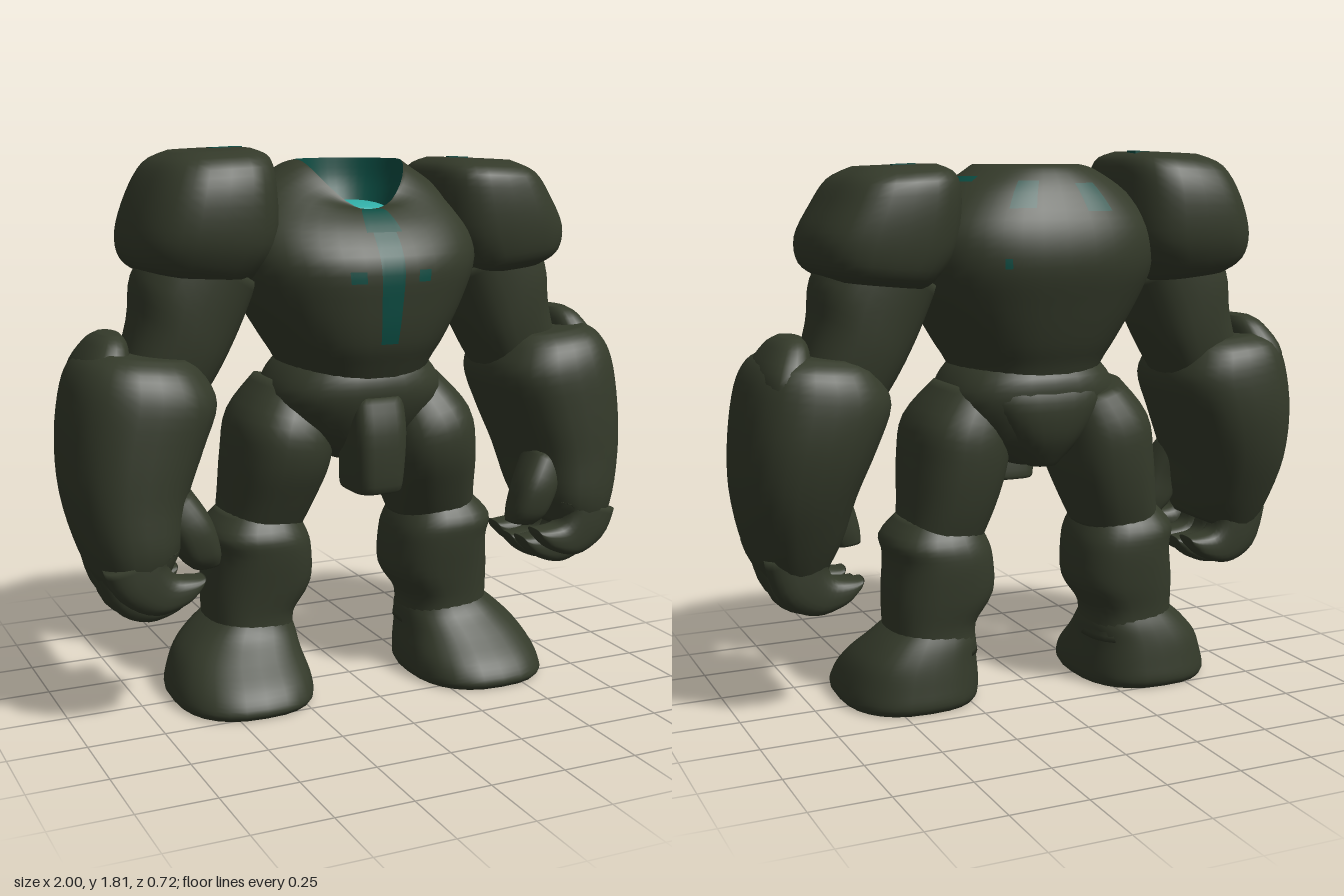
import * as THREE from 'three';

const stone = new THREE.MeshStandardMaterial({ color: 0x343a2a });
stone.name = 'mossy stone';
const teal = new THREE.MeshStandardMaterial({ color: 0x0b4c42, side: THREE.DoubleSide });
teal.name = 'deep teal';
const glow = new THREE.MeshStandardMaterial({ color: 0x30aca5 });
glow.name = 'bright cyan';

const FULL = [0, Math.PI * 2];

// Catmull-Rom blend of section rows: [x, y, z, radiusX, radiusZ, tilt, frontDip, extraSquareness]
function sectionAt(rows, t) {
  const i = Math.min(Math.floor(t), rows.length - 2), f = t - i;
  const row = (k) => rows[Math.max(0, Math.min(rows.length - 1, k))];
  return [0, 1, 2, 3, 4, 5, 6, 7].map((k) => {
    const [a, b, c, d] = [-1, 0, 1, 2].map((o) => row(i + o)[k] ?? 0);
    return b + 0.5 * f * (c - a + f * (2 * a - 5 * b + 4 * c - d + f * (3 * (b - c) + d - a)));
  });
}

// Skin of super-elliptic sections, listed bottom to top; side -1 mirrors it in x
function loft(name, rows, { n = 2.5, side = 1, seg = 28, cap = true, mat = stone,
  angles = FULL, range = [0, rows.length - 1], grow = 0 } = {}) {
  const pos = [], idx = [];
  const steps = Math.max(3, Math.ceil((range[1] - range[0]) * 4));
  const closed = angles === FULL, cols = closed ? seg : seg + 1;
  const tri = (a, b, c) => (side > 0 ? idx.push(a, b, c) : idx.push(a, c, b));
  for (let i = 0; i <= steps; i++) {
    const [x, y, z, rx, rz, tilt, dip, extra] = sectionAt(rows, range[0] + (range[1] - range[0]) * i / steps);
    const bend = (v) => Math.sign(v) * Math.abs(v) ** (2 / (n + extra));
    for (let j = 0; j < cols; j++) {
      const a = angles[0] + (angles[1] - angles[0]) * j / seg;
      const u = (rx + grow) * bend(Math.cos(a)), s = Math.sin(a);
      pos.push(side * (x + u * Math.cos(tilt)),
        y + u * Math.sin(tilt) - dip * Math.max(0, s) ** 2, z + (rz + grow) * bend(s));
    }
  }
  for (let i = 0; i < steps; i++) for (let j = 0; j < seg; j++) {
    const k = (j + 1) % cols, a = i * cols, b = a + cols;
    tri(a + j, b + j, a + k);
    tri(a + k, b + j, b + k);
  }
  if (cap && closed) for (const end of [0, 1]) {
    const [x, y, z] = rows[end ? rows.length - 1 : 0], c = pos.length / 3, o = end * steps * cols;
    pos.push(side * x, y, z);
    for (let j = 0; j < seg; j++) {
      const k = (j + 1) % cols;
      if (end) tri(c, o + k, o + j); else tri(c, o + j, o + k);
    }
  }
  const g = new THREE.BufferGeometry();
  g.setAttribute('position', new THREE.Float32BufferAttribute(pos, 3));
  g.setIndex(idx);
  g.computeVertexNormals();
  const mesh = new THREE.Mesh(g, mat);
  mesh.name = name;
  return mesh;
}

function makeTorso() {
  const group = new THREE.Group();
  group.name = 'torso';
  const rim = [0.01, 1.768, -0.025, 0.18, 0.175, 0, 0.158, -0.4];
  const chest = [
    [0, 1.02, 0, 0.21, 0.22], [0, 1.12, 0.01, 0.25, 0.26], [0, 1.2, 0.01, 0.3, 0.295],
    [0, 1.32, 0, 0.37, 0.325], [0, 1.45, -0.015, 0.42, 0.345], [0, 1.57, -0.04, 0.41, 0.305, 0, 0.02],
    [0, 1.68, -0.05, 0.32, 0.24, 0, 0.07, -0.1], [0, 1.75, -0.04, 0.22, 0.195, 0, 0.135, -0.3], rim,
  ];
  group.add(loft('chest', chest, { n: 2.4, cap: false, seg: 40 }));

  // Neck socket, listed top to bottom so that it faces inward
  group.add(loft('neckSocket', [
    rim, [0.01, 1.69, -0.03, 0.165, 0.16, 0, 0.09, -0.4],
    [0.01, 1.6, -0.035, 0.13, 0.115, 0, 0, -0.4], [0.01, 1.56, -0.035, 0.1, 0.09, 0, 0, -0.4],
  ], { n: 2.4, cap: false, seg: 40, mat: teal }));
  const core = new THREE.Mesh(new THREE.SphereGeometry(0.138, 28, 12), glow);
  core.name = 'glowingCore';
  core.scale.set(1, 0.26, 0.87);
  core.position.set(0.01, 1.6, -0.037);
  group.add(core);

  // Painted marks follow the chest surface: [name, middle angle, half angle, from, to]
  const F = Math.PI / 2;
  const marks = [
    ['chestStripe', F, 0.06, 2, 5], ['collarStripe', F, 0.1, 5, 8],
    ['rightChestMark', F + 0.22, 0.06, 3.58, 3.87], ['leftChestMark', F - 0.21, 0.05, 3.58, 3.87],
    ['rightBackMark', -F - 0.27, 0.12, 5.45, 6.35], ['leftBackMark', -F + 0.33, 0.12, 5.55, 6.45],
    ['leftNeckMark', -0.25, 0.25, 6.4, 6.65], ['lowerBackMark', -F + 0.42, 0.03, 4, 4.25],
  ];
  for (const [name, mid, half, from, to] of marks) {
    group.add(loft(name, chest, { n: 2.4, seg: 6, mat: teal, grow: 0.006,
      angles: [mid - half, mid + half], range: [from, to] }));
  }

  group.add(loft('pelvis', [
    [0, 0.79, -0.02, 0.09, 0.13], [0, 0.88, -0.01, 0.22, 0.21], [0, 1, 0, 0.3, 0.255],
    [0, 1.09, 0, 0.27, 0.25], [0, 1.16, 0, 0.2, 0.19]]));
  group.add(loft('frontPlate', [
    [0, 0.7, 0.16, 0.075, 0.1], [0, 0.73, 0.17, 0.085, 0.115], [0, 0.9, 0.185, 0.095, 0.105],
    [0, 1.02, 0.18, 0.09, 0.08]], { n: 3.6 }));
  group.add(loft('rearPlate', [
    [0, 0.79, -0.13, 0.05, 0.06], [0, 0.89, -0.15, 0.13, 0.1], [0, 1.01, -0.15, 0.21, 0.115],
    [0, 1.1, -0.13, 0.2, 0.1]]));
  return group;
}

function makeArm(side) {
  const group = new THREE.Group();
  group.name = side > 0 ? 'leftArm' : 'rightArm';
  const add = (name, rows, n) => group.add(loft(name, rows, { n, side }));
  const right = side < 0 ? 1 : 0;

  const lift = 0.04 * right, inset = 0.015 * right, back = -0.05 - 0.025 * right, deep = 0.265 + 0.02 * right;
  add('shoulder', [
    [0.55 - inset, 1.4, back, 0.15, 0.2, 0.1], [0.56 - inset, 1.44, back, 0.2, 0.245, 0.1],
    [0.535 - inset, 1.53, back, 0.235, deep, 0.06], [0.5, 1.65 + lift / 2, back, 0.215, deep, -0.03],
    [0.48, 1.73 + lift, back, 0.18, 0.24, -0.05], [0.47, 1.765 + lift, back, 0.12, 0.15, -0.04]], 2.9);
  const mark = new THREE.Mesh(new THREE.BoxGeometry(right ? 0.1 : 0.075, 0.009, right ? 0.06 : 0.02), teal);
  mark.name = 'shoulderMark';
  mark.position.set(side * (right ? 0.39 : 0.46), 1.765 + lift, right ? -0.145 : -0.11);
  mark.rotation.z = -0.04 * side;
  group.add(mark);

  add('upperArm', [
    [0.67, 1.06, -0.04, 0.14, 0.15, 0.35], [0.61, 1.2, -0.04, 0.16, 0.175, 0.5],
    [0.57, 1.33, -0.04, 0.185, 0.185, 0.5], [0.5, 1.46, -0.04, 0.17, 0.19, 0.5]], 2.5);
  add('forearm', [
    [0.79, 0.47, 0.055, 0.1, 0.18, -0.35], [0.8, 0.58, 0.045, 0.15, 0.23, -0.15],
    [0.805, 0.74, 0.01, 0.188, 0.263, 0], [0.777, 0.9, -0.01, 0.22, 0.28, 0.08],
    [0.74, 1.05, -0.015, 0.235, 0.275, 0.12], [0.74, 1.14, -0.02, 0.195, 0.24, 0.1],
    [0.73, 1.18, -0.02, 0.15, 0.18, 0.1]], 2.5);
  add('elbowGuard', [
    [0.88, 0.96, -0.04, 0.07, 0.17, 0.1], [0.86, 1.11, -0.05, 0.085, 0.19, 0.15],
    [0.83, 1.21, -0.05, 0.06, 0.13, 0.1], [0.82, 1.245, -0.05, 0.03, 0.07, 0]], 2.4);

  // Curled fingers, side by side along z
  [0.02, 0, 0.01, 0.06].forEach((up, i) => {
    const z = -0.08 + i * 0.095;
    add('finger' + (i + 1), [
      [0.62, 0.42 + up, z, 0.025, 0.045, -1.1], [0.66, 0.4 + up, z, 0.045, 0.057, -1.2],
      [0.74, 0.395 + up, z, 0.07, 0.062, -1.1], [0.8, 0.45 + up, z, 0.1, 0.064, -0.7],
      [0.81, 0.57, z, 0.12, 0.062, -0.2]], 2.8);
  });
  add('thumb', [
    [0.585, 0.515, 0.15, 0.045, 0.05, -0.1], [0.605, 0.56, 0.16, 0.065, 0.07, -0.2],
    [0.64, 0.65, 0.16, 0.072, 0.08, -0.35], [0.7, 0.74, 0.13, 0.075, 0.085, -0.55]], 2.6);
  group.position.z = 0.03 * right;
  return group;
}

function makeLeg(side) {
  const group = new THREE.Group();
  group.name = side > 0 ? 'leftLeg' : 'rightLeg';
  const add = (name, rows, n) => group.add(loft(name, rows, { n, side }));
  add('thigh', [
    [0.31, 0.55, 0, 0.14, 0.15], [0.28, 0.66, 0.01, 0.155, 0.19], [0.255, 0.79, 0.025, 0.168, 0.225, 0.1],
    [0.235, 0.91, 0.025, 0.165, 0.225, 0.2], [0.18, 1.03, 0.01, 0.12, 0.17, 0.3]], 2.4);
  add('shin', [
    [0.345, 0.16, 0, 0.15, 0.16], [0.35, 0.26, 0, 0.15, 0.16], [0.32, 0.36, 0, 0.182, 0.175],
    [0.315, 0.48, 0.005, 0.175, 0.19], [0.33, 0.55, 0.01, 0.17, 0.185], [0.32, 0.62, 0.01, 0.12, 0.14]], 2.5);
  add('foot', [
    [0.415, 0, 0.08, 0.225, 0.265], [0.415, 0.025, 0.08, 0.235, 0.28], [0.41, 0.08, 0.065, 0.228, 0.26],
    [0.4, 0.15, 0.03, 0.205, 0.215], [0.375, 0.21, 0.005, 0.175, 0.175],
    [0.355, 0.26, 0, 0.135, 0.15]], 2.5);
  // Right leg stands a little further back
  group.position.z = side > 0 ? 0 : -0.075;
  return group;
}

export function createModel() {
  const model = new THREE.Group();
  model.name = 'headlessStoneGiant';
  model.add(makeTorso());
  for (const side of [1, -1]) model.add(makeArm(side), makeLeg(side));
  return model;
}
